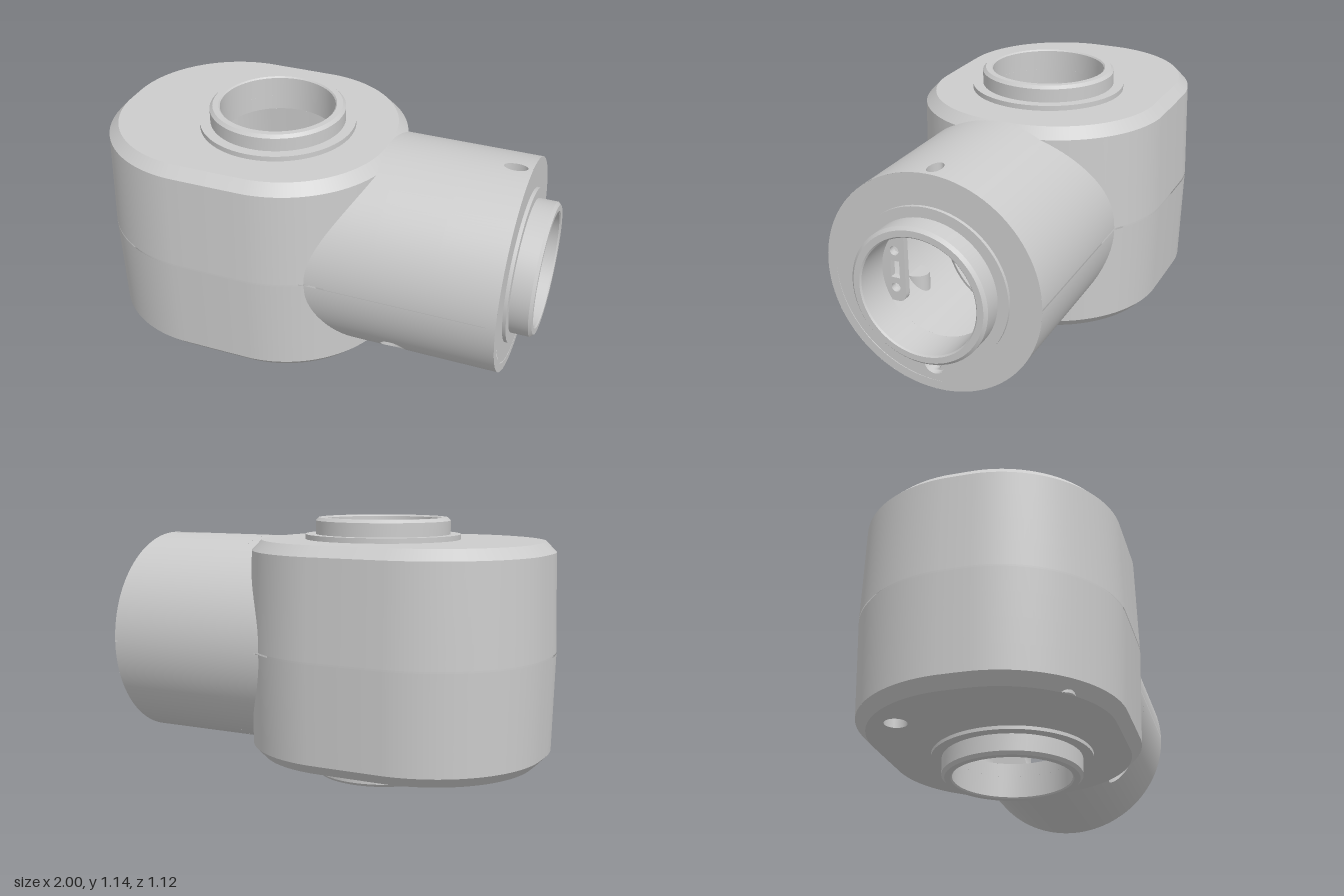
import * as THREE from 'three';
import { ParametricGeometry } from 'three/addons/geometries/ParametricGeometry.js';
import { toCreasedNormals } from 'three/addons/utils/BufferGeometryUtils.js';

const PI = Math.PI, { cos, sin, sqrt, abs, max, min } = Math, lerp = THREE.MathUtils.lerp;
const MX = -0.335, A = 0.145, B = 0.04, R = 0.52;   // rounded-rectangle plan of the body
const CY = 0.572, CZ = 0.018, CR = 0.472;           // side barrel axis and radius
const BX = -0.235, BZ = 0.015, BORE = 0.25;         // vertical bore
const XM = 0.36, XE = 0.89;                         // barrel: join line and end face
const GAP = 0.004;                                  // half width of the parting seam

export function createModel() {
  const root = new THREE.Group();
  const mat = new THREE.MeshStandardMaterial({ color: 0xcccccc, side: THREE.DoubleSide });
  const add = (name, geo, x = 0, y = 0, z = 0) => {
    const m = new THREE.Mesh(geo, mat);
    m.name = name;
    m.position.set(x, y, z);
    root.add(m);
    return m;
  };
  const surf = (name, fn, nu, nv) => add(name, new ParametricGeometry((u, v, t) => t.set(...fn(u, v)), nu, nv));

  // Point of the body outline at angle f, inset by d
  const soft = (c) => max(-1, min(1, c * 40));
  const outline = (f, d) => [MX + A * soft(cos(f)) + (R - d) * cos(f), B * soft(sin(f)) + (R - d) * sin(f)];
  const bodyX = (z, d) => MX + A + sqrt((R - d) ** 2 - max(abs(z) - B, 0) ** 2);
  const circle = (x, y, r) => new THREE.Path().absarc(x, y, r, 0, PI * 2, true);

  // Half of the body wall, cut open by an arch where the barrel joins
  const wall = (name, s, d, arch, yEnd) => surf(name, (u, v) => {
    const f = u * PI * 2, [x, z] = outline(f, d);
    let y0 = CY + s * GAP;
    const dz = abs(z - CZ);
    if (x > MX && dz < arch) y0 = CY + s * max(GAP, sqrt(arch * arch - dz * dz));
    if ((yEnd - y0) * s < 0) y0 = yEnd;
    const y = lerp(y0, yEnd, v), p = outline(f, d + 0.012 * abs(y - CY) / 0.428);
    return [p[0], y, p[1]];
  }, 144, 4);

  // Flat cap with the plan of the body, bore and optional screw holes
  const cap = (name, y, d, holes = []) => {
    const pts = Array.from({ length: 144 }, (_, i) => new THREE.Vector2(...outline(i / 144 * PI * 2, d)));
    const s = new THREE.Shape(pts);
    s.holes.push(circle(BX, BZ, BORE), ...holes.map(([x, z]) => circle(x, z, 0.047)));
    add(name, new THREE.ShapeGeometry(s, 32).rotateX(PI / 2), 0, y, 0);
  };

  const screws = [[0.015, -0.275], [-0.7, -0.325], [-0.77, 0.36]];
  for (const [s, half, edge, face, inner] of [[1, 'upper', 1.0, 1.045, 0.98], [-1, 'lower', 0.145, 0.1, 0.16]]) {
    wall(half + 'BodyWall', s, 0, 0.44, edge);
    wall(half + 'InnerWall', s, 0.06, 0.42, inner);
    surf(half + 'Chamfer', (u, v) => {
      const [x, z] = outline(u * PI * 2, lerp(0.012, 0.055, v));
      return [x, lerp(edge, face, v), z];
    }, 144, 1);
    cap(half + 'Cap', face, 0.055, s < 0 ? screws : []);
    cap(half + 'InnerCap', inner, 0.07);
  }
  for (const [x, z] of screws) {
    add('screwWell', new THREE.CylinderGeometry(0.047, 0.047, 0.25, 24, 1, true), x, 0.225, z);
    add('screwWellFloor', new THREE.CircleGeometry(0.047, 24).rotateX(PI / 2), x, 0.35, z);
  }
  // Floor of the seam groove around the body
  surf('bodySeam', (u, v) => {
    const [x, z] = outline(lerp(PI / 3, PI * 5 / 3, u), 0.012);
    return [x, CY + lerp(-0.015, 0.015, v), z];
  }, 96, 1);

  // Barrel surfaces; angle 0 is the top
  const barrel = (x, t, r = CR) => [x, CY + r * cos(t), CZ + r * sin(t)];
  const sector = (name, t0, t1, x0, x1, r = CR) => surf(name, (u, v) => {
    const p = barrel(0, lerp(t0, t1, u), r);
    p[0] = lerp(x0 ?? bodyX(p[2], r === CR ? 0.07 : 0.06), x1, v);
    return p;
  }, 48, 2);
  // Barrel patch with an oval hole, and a vertical well behind it
  const patch = (name, tc, ht, cx, rx, rt, yEnd) => {
    const rim = (a) => [cx + rx * cos(a), tc + rt * sin(a)];
    surf(name + 'Patch', (u, v) => {
      const a = -u * PI * 2, m = 1 / max(abs(cos(a)), abs(sin(a))), h = rim(a);
      return barrel(lerp(h[0], (XM + XE) / 2 + (XE - XM) / 2 * cos(a) * m, v), lerp(h[1], tc + ht * sin(a) * m, v));
    }, 64, 8);
    surf(name + 'Well', (u, v) => {
      const p = barrel(...rim(u * PI * 2));
      return [p[0], lerp(p[1], yEnd, v), p[2]];
    }, 32, 1);
    surf(name + 'Floor', (u, v) => {
      const p = barrel(...rim(u * PI * 2)), c = barrel(cx, tc);
      return [lerp(c[0], p[0], v), yEnd, lerp(c[2], p[2], v)];
    }, 32, 1);
  };
  const g = GAP / CR;
  for (const [half, base, tc, ht] of [['upper', 0, 0, 0.2], ['lower', PI, 2.345, 0.3]]) {
    const t0 = base - PI / 2 + g, t1 = base + PI / 2 - g;
    sector(half + 'BarrelRoot', t0, t1, null, XM);
    sector(half + 'BarrelSide', t0, tc - ht, XM, XE);
    sector(half + 'BarrelSide', tc + ht, t1, XM, XE);
    sector(half + 'BarrelLining', t0, t1, null, 0.84, 0.42);
  }
  patch('slot', 0, 0.2, 0.82, 0.05, 0.06, 1.0);
  patch('screwHole', 2.345, 0.3, 0.43, 0.055, 0.167, 0.34);
  for (const s of [-1, 1])
    add('barrelSeam', new THREE.BoxGeometry(0.73, 0.02, 0.04), 0.52, CY, CZ + s * 0.441);

  // Barrel end face with a small screw hole and a shallow arc groove in its lower half
  const face = new THREE.Shape().absarc(0, 0, 0.428, 0, PI * 2);
  face.holes.push(circle(0, 0, BORE), circle(0, -0.355, 0.047));
  const side = (name, geo, x) => add(name, geo.rotateY(PI / 2), x, CY, CZ);
  side('endFace', new THREE.ShapeGeometry(face, 48), XE);
  side('endRimUpper', new THREE.RingGeometry(0.428, CR, 48, 1, 0, PI), XE);
  side('endRimLower', new THREE.RingGeometry(0.433, CR, 48, 1, PI, PI), XE);
  side('endGroove', new THREE.RingGeometry(0.42, 0.44, 48, 1, PI, PI), XE - 0.01);
  side('endInnerWall', new THREE.RingGeometry(BORE, 0.42, 64), 0.84);
  const well = (r, len, x) => add('endScrewWell',
    new THREE.CylinderGeometry(r, r, len, 24, 1, true).rotateZ(PI / 2), x, CY - 0.355, CZ);
  well(0.047, 0.03, 0.875);
  well(0.028, 0.03, 0.875);
  add('endScrewSeat', new THREE.RingGeometry(0.02, 0.047, 24).rotateY(PI / 2), 0.86, CY - 0.355, CZ);
  add('endScrewTip', new THREE.CircleGeometry(0.02, 6).rotateY(PI / 2), 0.852, CY - 0.355, CZ);

  // Stepped collars around the three openings
  const collar = (name, flange, h, depth) => toCreasedNormals(new THREE.LatheGeometry([
    [BORE, -depth], [BORE, h - 0.006], [0.256, h], [0.282, h], [0.295, h - 0.013],
    [0.295, flange], [0.34, flange], [0.34, 0],
  ].map((p) => new THREE.Vector2(...p)), 96), 0.5);
  add('topCollar', collar('top', 0.022, 0.094, 0.065), BX, 1.045, BZ);
  add('bottomCollar', collar('bottom', 0.015, 0.1, 0.06), BX, 0.1, BZ).rotation.x = PI;
  add('sideCollar', collar('side', 0.015, 0.11, 0.05), XE, CY, CZ).rotation.z = -PI / 2;

  // Cable plate behind the side opening
  const plate = new THREE.Shape();
  plate.moveTo(-0.17, 0.85).lineTo(-0.17, 0.47);
  plate.quadraticCurveTo(-0.17, 0.43, -0.21, 0.43);
  plate.lineTo(-0.36, 0.43).lineTo(-0.36, 0.77).lineTo(-0.3, 0.85);
  plate.holes.push(circle(-0.215, 0.655, 0.02), circle(-0.215, 0.49, 0.02));
  const slot = new THREE.Path();
  slot.moveTo(-0.195, 0.535).lineTo(-0.235, 0.535).lineTo(-0.235, 0.61).lineTo(-0.195, 0.61);
  plate.holes.push(slot);
  add('cablePlate', new THREE.ExtrudeGeometry(plate, { depth: 0.03, bevelEnabled: false }).rotateY(PI / 2), 0.8);

  // Ribs on the far inner wall
  add('uprightRib', new THREE.BoxGeometry(0.05, 0.41, 0.02), -0.91, 0.365, -0.003);
  add('ceilingLedge', new THREE.BoxGeometry(0.08, 0.19, 0.3), -0.89, 0.885, -0.01);
  return root;
}
